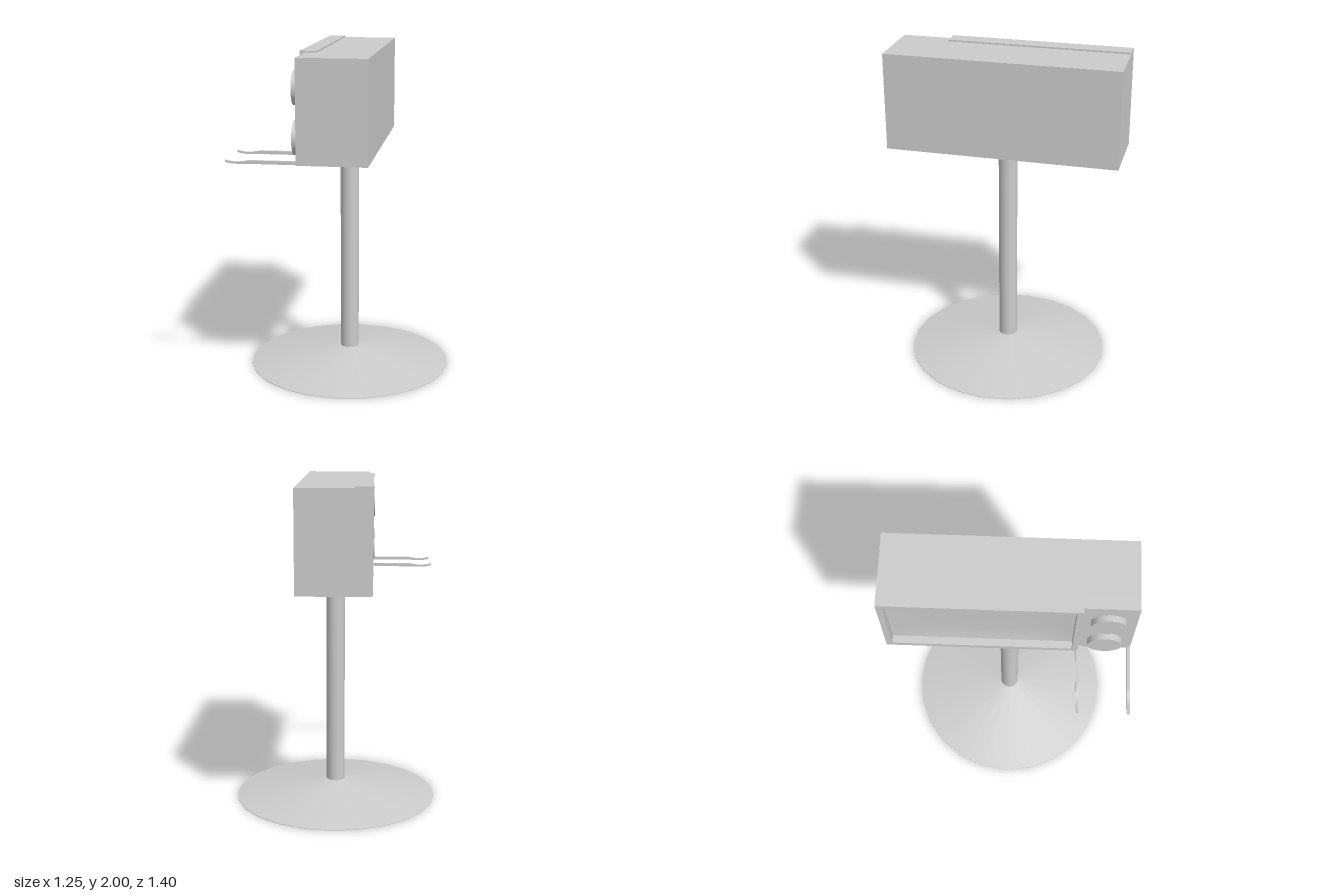
import * as THREE from 'three';

export function createModel() {
  const model = new THREE.Group();
  const mat = new THREE.MeshStandardMaterial({ color: 0xcccccc });
  const screenMat = new THREE.MeshStandardMaterial({ color: 0xcccccc, side: THREE.DoubleSide });

  const add = (name, geometry, x = 0, y = 0, z = 0, material = mat) => {
    const mesh = new THREE.Mesh(geometry, material);
    mesh.name = name;
    mesh.position.set(x, y, z);
    model.add(mesh);
    return mesh;
  };
  // Box given by its minimum and maximum corners
  const addBox = (name, a, b) => add(name,
    new THREE.BoxGeometry(b[0] - a[0], b[1] - a[1], b[2] - a[2]),
    (a[0] + b[0]) / 2, (a[1] + b[1]) / 2, (a[2] + b[2]) / 2);

  // Stand: shallow cone foot and a round pole
  add('standFoot', new THREE.CylinderGeometry(0.06, 0.625, 0.097, 24), 0, 0.0515, 0);
  add('standFootRim', new THREE.CylinderGeometry(0.625, 0.625, 0.003, 24), 0, 0.0015, 0);
  add('pole', new THREE.CylinderGeometry(0.057, 0.057, 1.32, 24), 0, 0.75, 0);

  // Cabinet, with the control panel beside the screen opening
  addBox('cabinet', [-0.13, 1.4, -0.7], [0.2, 1.99, 0.7]);
  addBox('controlPanel', [-0.2, 1.4, 0.4], [-0.13, 1.99, 0.7]);

  // Screen frame: a rectangle with a hole, extruded along x
  const rect = (Type, z0, y0, z1, y1) => {
    const p = new Type();
    p.moveTo(z0, y0).lineTo(z1, y0).lineTo(z1, y1).lineTo(z0, y1).closePath();
    return p;
  };
  const outline = rect(THREE.Shape, -0.7, 1.4, 0.4, 2.0);
  outline.holes.push(rect(THREE.Path, -0.665, 1.435, 0.365, 1.965));
  const frame = new THREE.ExtrudeGeometry(outline, { depth: 0.1, bevelEnabled: false });
  frame.rotateY(-Math.PI / 2);
  add('screenFrame', frame, -0.13, 0, 0);

  // Gently dished screen set into the frame
  const screen = new THREE.PlaneGeometry(1.03, 0.53, 16, 10);
  const pos = screen.attributes.position;
  for (let i = 0; i < pos.count; i++) {
    const u = pos.getX(i) / 0.515, v = pos.getY(i) / 0.265;
    pos.setZ(i, -0.015 * (1 - u ** 4) * (1 - v ** 4));
  }
  screen.rotateY(-Math.PI / 2);
  screen.computeVertexNormals();
  add('screen', screen, -0.185, 1.7, -0.15, screenMat);

  // Two round dials
  for (const [name, y] of [['upperDial', 1.81], ['lowerDial', 1.53]]) {
    const dial = new THREE.CylinderGeometry(0.098, 0.098, 0.045, 24);
    dial.rotateZ(Math.PI / 2);
    add(name, dial, -0.2135, y, 0.545);
  }

  // Two thin prongs with dipped, upturned tips
  const prong = new THREE.Shape();
  prong.moveTo(-0.19, 1.403).lineTo(-0.19, 1.422).lineTo(-0.46, 1.422);
  prong.bezierCurveTo(-0.5, 1.418, -0.53, 1.402, -0.6, 1.422);
  prong.lineTo(-0.6, 1.41);
  prong.bezierCurveTo(-0.55, 1.396, -0.52, 1.404, -0.46, 1.403);
  prong.closePath();
  for (const [name, z] of [['innerProng', 0.39], ['outerProng', 0.68]]) {
    add(name, new THREE.ExtrudeGeometry(prong, { depth: 0.019, bevelEnabled: false, curveSegments: 8 }), 0, 0, z);
  }

  return model;
}
